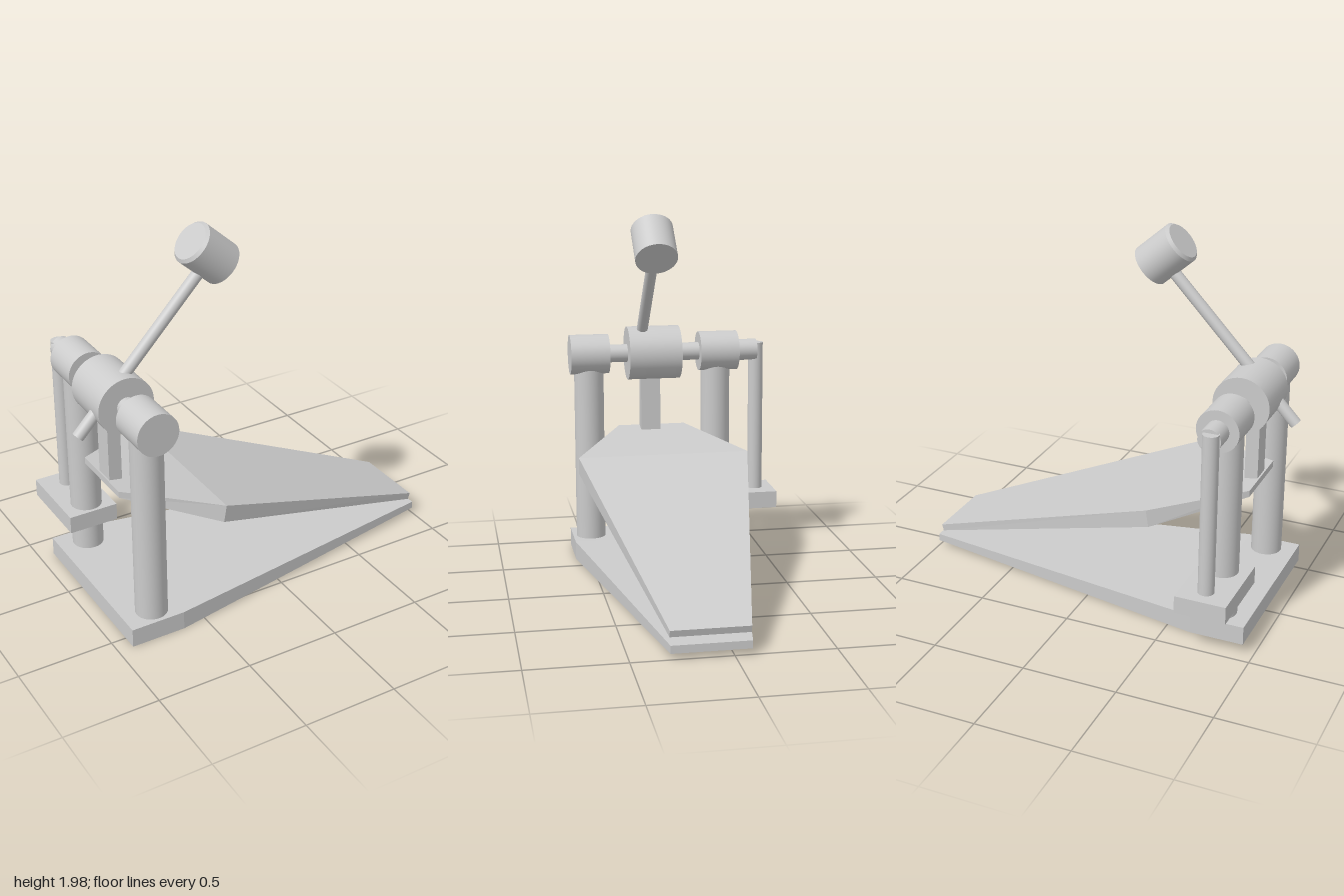
import * as THREE from 'three';

const material = new THREE.MeshStandardMaterial({ color: 0xcccccc });

export function createModel() {
  const group = new THREE.Group();
  const axleX = -0.75, axleY = 1.16, midZ = 0.11;

  function add(name, geometry, x = 0, y = 0, z = 0) {
    const mesh = new THREE.Mesh(geometry, material);
    mesh.name = name;
    mesh.position.set(x, y, z);
    group.add(mesh);
    return mesh;
  }

  // Round bar between two points
  function bar(name, radius, from, to) {
    const a = new THREE.Vector3(...from), b = new THREE.Vector3(...to);
    const mesh = add(name, new THREE.CylinderGeometry(radius, radius, a.distanceTo(b), 40));
    mesh.position.copy(a).add(b).multiplyScalar(0.5);
    mesh.quaternion.setFromUnitVectors(new THREE.Vector3(0, 1, 0), b.sub(a).normalize());
    return mesh;
  }

  // Flat-sided plate through rectangular sections: [topX, topY, bottomX, bottomY, halfWidth]
  function plate(name, sections) {
    const rings = sections.map(([tx, ty, bx, by, w]) => [
      [tx, ty, midZ + w], [tx, ty, midZ - w], [bx, by, midZ - w], [bx, by, midZ + w],
    ]);
    const pos = [];
    const quad = (a, b, c, d) => pos.push(...a, ...b, ...c, ...a, ...c, ...d);
    for (let i = 0; i < rings.length - 1; i++) {
      const p = rings[i], q = rings[i + 1];
      for (let k = 0; k < 4; k++) {
        const n = (k + 1) % 4;
        quad(p[k], q[k], q[n], p[n]);
      }
    }
    const s = rings[0], e = rings[rings.length - 1];
    quad(s[0], s[1], s[2], s[3]);
    quad(e[3], e[2], e[1], e[0]);
    const g = new THREE.BufferGeometry();
    g.setAttribute('position', new THREE.Float32BufferAttribute(pos, 3));
    g.computeVertexNormals();
    add(name, g);
  }

  // Base and foot board
  plate('basePlate', [
    [-0.92, 0.1, -0.92, 0, 0.47],
    [-0.63, 0.1, -0.63, 0, 0.47],
    [1, 0.07, 1, 0.03, 0.197],
  ]);
  plate('footBoard', [
    [-0.83, 0.725, -0.83, 0.69, 0.19],
    [-0.38, 0.65, -0.395, 0.56, 0.47],
    [0.978, 0.135, 0.968, 0.1, 0.197],
  ]);

  // Posts with bearings
  for (const [z, near, far] of [[0.477, 0.367, 0.585], [-0.25, -0.15, -0.37]]) {
    bar('post', 0.083, [-0.76, 0.09, z], [-0.76, axleY, z]);
    bar('bearing', 0.111, [axleX, axleY, near], [axleX, axleY, far]);
  }

  // Axle, hub and end cap
  bar('axle', 0.05, [axleX, axleY, 0.58], [axleX, axleY, -0.38]);
  bar('hub', 0.15, [axleX, axleY, 0.26], [axleX, axleY, -0.035]);
  bar('axleEnd', 0.06, [axleX, axleY, -0.36], [axleX, axleY, -0.485]);

  // Strap linking hub and foot board
  add('strap', new THREE.BoxGeometry(0.07, 0.45, 0.11), -0.785, 0.93, 0.125);

  // Spring rod and its bracket
  bar('springRod', 0.042, [-0.76, 0.33, -0.488], [-0.76, 1.2, -0.488]);
  add('springBracket', new THREE.BoxGeometry(0.27, 0.095, 0.44), -0.765, 0.293, -0.37);

  // Beater rod and head, chamfered at the striking end
  bar('beaterRod', 0.031, [-0.976, 1.016, 0.178], [-0.26, 1.77, 0.178]);
  const r = 0.113, h = 0.115, c = 0.015;
  const V = (x, y) => new THREE.Vector2(x, y);
  const lathe = new THREE.LatheGeometry([
    V(0, -h), V(r, -h), V(r, -h), V(r, h - c), V(r, h - c), V(r - c, h), V(r - c, h), V(0, h),
  ], 48);
  // Duplicated profile points keep the rims sharp; drop the shared smoothing
  const head = new THREE.Group();
  head.name = 'beaterHead';
  lathe.dispose();
  const pieces = [[V(0, -h), V(r, -h)], [V(r, -h), V(r, h - c)], [V(r, h - c), V(r - c, h)], [V(r - c, h), V(0, h)]];
  for (const piece of pieces) {
    const mesh = new THREE.Mesh(new THREE.LatheGeometry(piece, 48), material);
    mesh.name = 'beaterHeadSurface';
    head.add(mesh);
  }
  head.position.set(-0.256, 1.826, 0.178);
  head.rotation.z = Math.PI / 2 - 0.72;
  group.add(head);

  return group;
}
